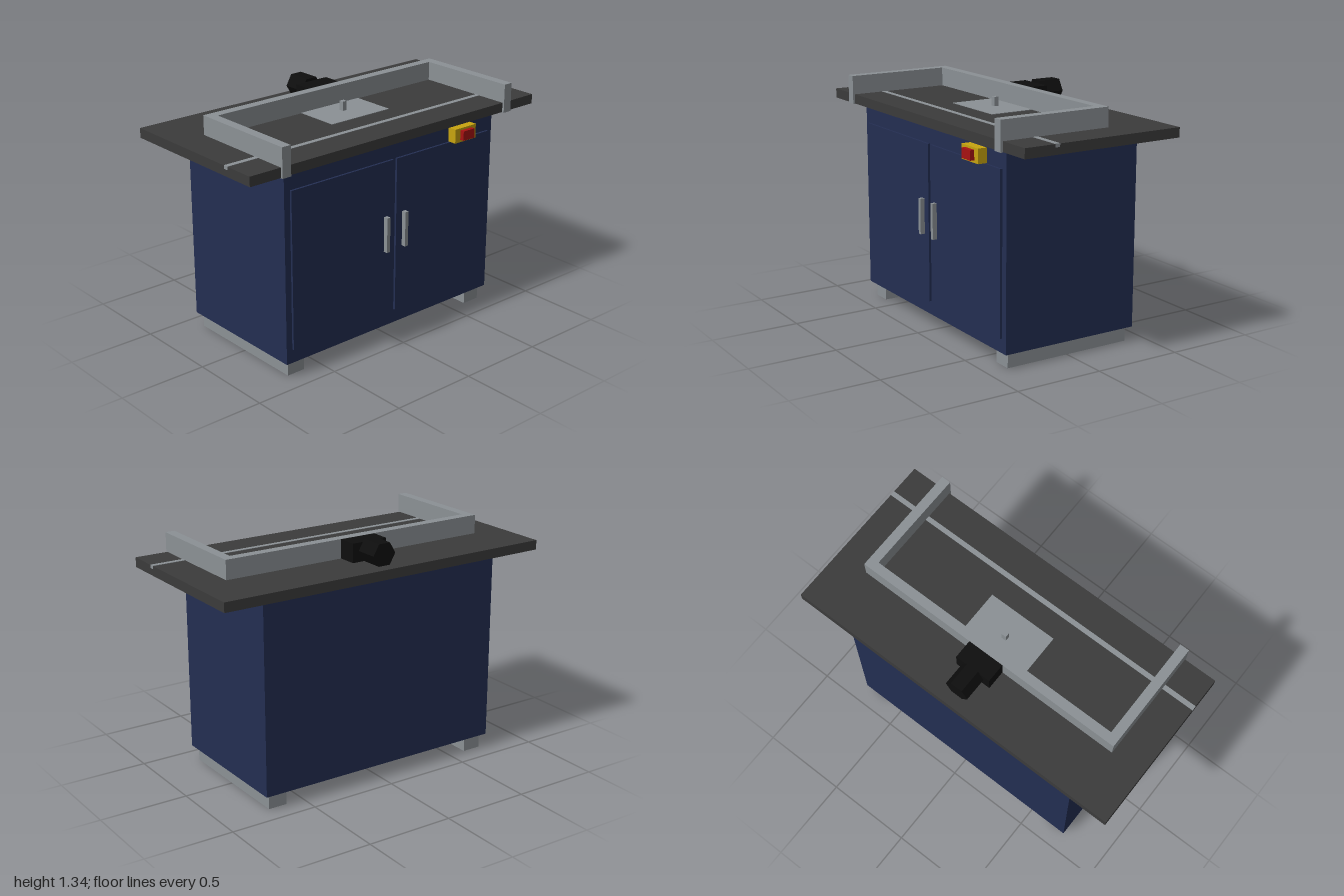
import * as THREE from 'three';

export function createModel() {
  const model = new THREE.Group();
  model.name = 'routerTable';

  const mat = (name, color) => {
    const m = new THREE.MeshStandardMaterial({ color });
    m.name = name;
    return m;
  };
  const navy = mat('navyPaint', 0x232e52);
  const charcoal = mat('charcoalTop', 0x3b3b3b);
  const metal = mat('greyMetal', 0x8b9195);
  const black = mat('blackMotor', 0x0e0e0e);
  const yellow = mat('yellowSwitch', 0xc8a40f);
  const red = mat('redButton', 0xa81212);

  // Box given by its lower and upper limits on each axis
  const box = (name, material, [x0, x1], [y0, y1], [z0, z1]) => {
    const mesh = new THREE.Mesh(new THREE.BoxGeometry(x1 - x0, y1 - y0, z1 - z0), material);
    mesh.position.set((x0 + x1) / 2, (y0 + y1) / 2, (z0 + z1) / 2);
    mesh.name = name;
    model.add(mesh);
    return mesh;
  };
  // Same box on the left (+x) and right (-x)
  const pair = (name, material, [x0, x1], y, z) => {
    box(name + 'Left', material, [x0, x1], y, z);
    box(name + 'Right', material, [-x1, -x0], y, z);
  };

  // Cabinet, doors, handles and feet
  box('cabinet', navy, [-0.742, 0.742], [0.085, 1.166], [-0.412, 0.402]);
  pair('door', navy, [0.011, 0.705], [0.165, 1.055], [0.4, 0.415]);
  pair('handle', metal, [0.055, 0.077], [0.543, 0.744], [0.414, 0.441]);
  pair('foot', metal, [0.605, 0.714], [0, 0.086], [-0.385, 0.373]);

  // Table top with slide track and insert plate
  box('tableTop', charcoal, [-1, 1], [1.166, 1.22], [-0.48, 0.468]);
  box('slideTrack', metal, [-1.001, 1.001], [1.203, 1.222], [0.264, 0.292]);
  box('insertPlate', metal, [-0.203, 0.203], [1.215, 1.223], [-0.13, 0.14]);
  box('cutterBit', metal, [-0.014, 0.014], [1.215, 1.275], [-0.022, 0.006]);

  // Three-sided fence
  box('fenceBack', metal, [-0.757, 0.757], [1.21, 1.327], [-0.17, -0.117]);
  pair('fenceArm', metal, [0.756, 0.81], [1.164, 1.327], [-0.17, 0.48]);

  // Motor housing and hexagonal motor body behind the fence
  box('motorHousing', black, [-0.107, 0.107], [1.22, 1.326], [-0.279, -0.17]);
  const motor = new THREE.Mesh(
    new THREE.CylinderGeometry(0.07, 0.07, 0.135, 6).rotateY(Math.PI / 6).rotateX(Math.PI / 2), black);
  motor.geometry = new THREE.CylinderGeometry(0.07, 0.07, 0.135, 6, 1, false, Math.PI / 2)
    .rotateX(Math.PI / 2).toNonIndexed();
  motor.geometry.computeVertexNormals();
  motor.position.set(0, 1.281, -0.3445);
  motor.name = 'motorBody';
  model.add(motor);

  // Power switch
  box('switchBox', yellow, [0.405, 0.562], [1.057, 1.137], [0.4, 0.455]);
  box('switchButton', red, [0.443, 0.527], [1.071, 1.125], [0.45, 0.48]);

  return model;
}
